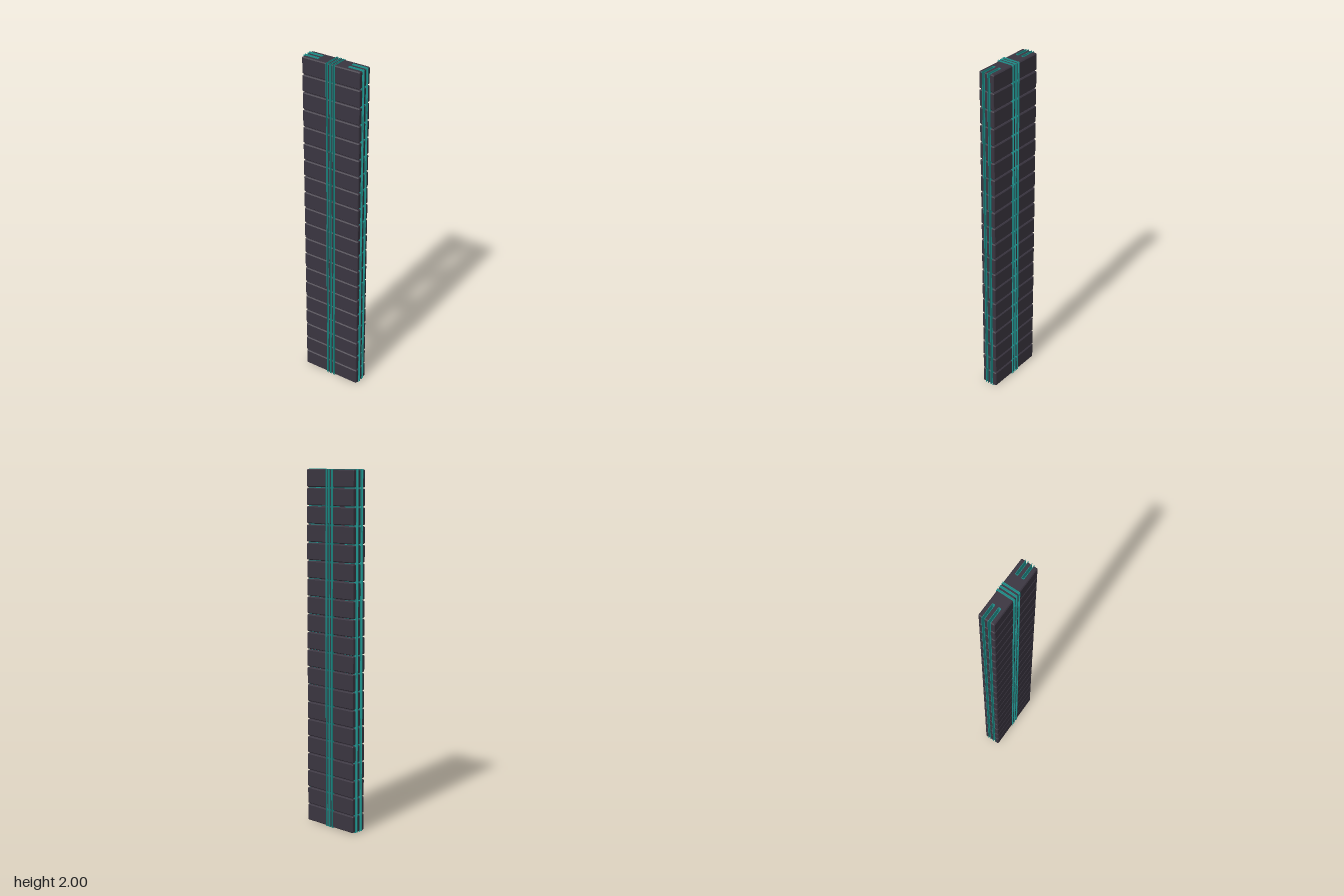
import * as THREE from 'three';

const TOTAL = 2, ROWS = 20, PITCH = TOTAL / ROWS, GAP = 0.005;
const HALF_X = 0.178, HALF_Z = 0.047, BEVEL = 0.005;   // block outline
const SLOT_Z = 0.0175, SLOT_R = 0.008, SLOT_IN = 0.091; // side slots
const BAND_X = 0.0215, BAND_R = 0.0055, WALL = 0.0022;  // centre channels
const LIP = 0.0035;                                     // how far liners stand out

const darkMat = new THREE.MeshStandardMaterial({ color: 0x3a3540, flatShading: true });
const tealMat = new THREE.MeshStandardMaterial({ color: 0x1f938e, flatShading: true });

function outline(points) {
  return new THREE.Shape(points.map(([x, y]) => new THREE.Vector2(x, y)));
}

// Stands a plan shape upright
function upright(shape, height, steps = 1) {
  return new THREE.ExtrudeGeometry(shape, { depth: height, steps, bevelEnabled: false }).rotateX(-Math.PI / 2);
}

// Upright block whose outer rims are chamfered at top and bottom
function chamferedBlock(shape) {
  const height = PITCH - GAP;
  const geo = upright(shape, height, 3);
  const levels = [0, BEVEL, height - BEVEL, height];
  const pos = geo.attributes.position;
  const zMax = HALF_Z - BEVEL, xMax = HALF_X - BEVEL;
  for (let i = 0; i < pos.count; i++) {
    const level = Math.round(pos.getY(i) / height * 3);
    pos.setY(i, levels[level]);
    if (level === 0 || level === 3) {
      pos.setX(i, Math.min(pos.getX(i), xMax));
      pos.setZ(i, THREE.MathUtils.clamp(pos.getZ(i), -zMax, zMax));
    }
  }
  geo.computeVertexNormals();
  return geo;
}

// Slot edge in plan, from one mouth corner round the inner end to the other
function slotEdge(cz, mouth, inner, r) {
  const k = 0.004;
  return [
    [mouth, cz - r], [inner + k, cz - r], [inner + k * 0.3, cz - r + k * 0.3], [inner, cz - r + k],
    [inner, cz + r - k], [inner + k * 0.3, cz + r - k * 0.3], [inner + k, cz + r], [mouth, cz + r],
  ];
}

export function createModel() {
  const group = new THREE.Group();
  const add = (name, geo, mat, parent = group) => {
    const mesh = new THREE.Mesh(geo, mat);
    mesh.name = name;
    parent.add(mesh);
    return mesh;
  };

  // Outer block: two slots cut into its outer side
  const inX = BAND_X + BAND_R, c = BEVEL * 0.7;
  const sideBlock = chamferedBlock(outline([
    [inX, -HALF_Z], [HALF_X - c, -HALF_Z], [HALF_X, -HALF_Z + c],
    ...slotEdge(-SLOT_Z, HALF_X, SLOT_IN, SLOT_R),
    ...slotEdge(SLOT_Z, HALF_X, SLOT_IN, SLOT_R),
    [HALF_X, HALF_Z - c], [HALF_X - c, HALF_Z], [inX, HALF_Z],
  ]));
  // Narrow block between two centre channels
  const coreBlock = chamferedBlock(outline([
    [BAND_R, -HALF_Z], [BAND_X - BAND_R, -HALF_Z], [BAND_X - BAND_R, HALF_Z], [BAND_R, HALF_Z],
  ]));
  // U-shaped liner of a side slot
  const mouth = HALF_X + LIP;
  const slotLiner = upright(outline([
    ...slotEdge(0, mouth, SLOT_IN, SLOT_R),
    ...slotEdge(0, mouth, SLOT_IN + WALL, SLOT_R - WALL).reverse(),
  ]), TOTAL);

  // Both halves, the second turned half a circle
  for (const side of ['left', 'right']) {
    const half = new THREE.Group();
    half.name = side + 'Half';
    if (side === 'right') half.rotation.y = Math.PI;
    group.add(half);
    for (let i = 0; i < ROWS; i++) {
      const y = i * PITCH + GAP / 2;
      add('sideBlock', sideBlock, darkMat, half).position.y = y;
      add('coreBlock', coreBlock, darkMat, half).position.y = y;
    }
    for (const s of [-1, 1]) add('slotLiner', slotLiner, tealMat, half).position.z = s * SLOT_Z;
  }

  // Paired thin plates lining the three centre channels
  const plate = new THREE.BoxGeometry(WALL, TOTAL, (HALF_Z + LIP) * 2);
  for (const x of [-BAND_X, 0, BAND_X]) {
    for (const s of [-1, 1]) {
      add('channelPlate', plate, tealMat).position.set(x + s * (BAND_R - WALL / 2), TOTAL / 2, 0);
    }
  }
  return group;
}
